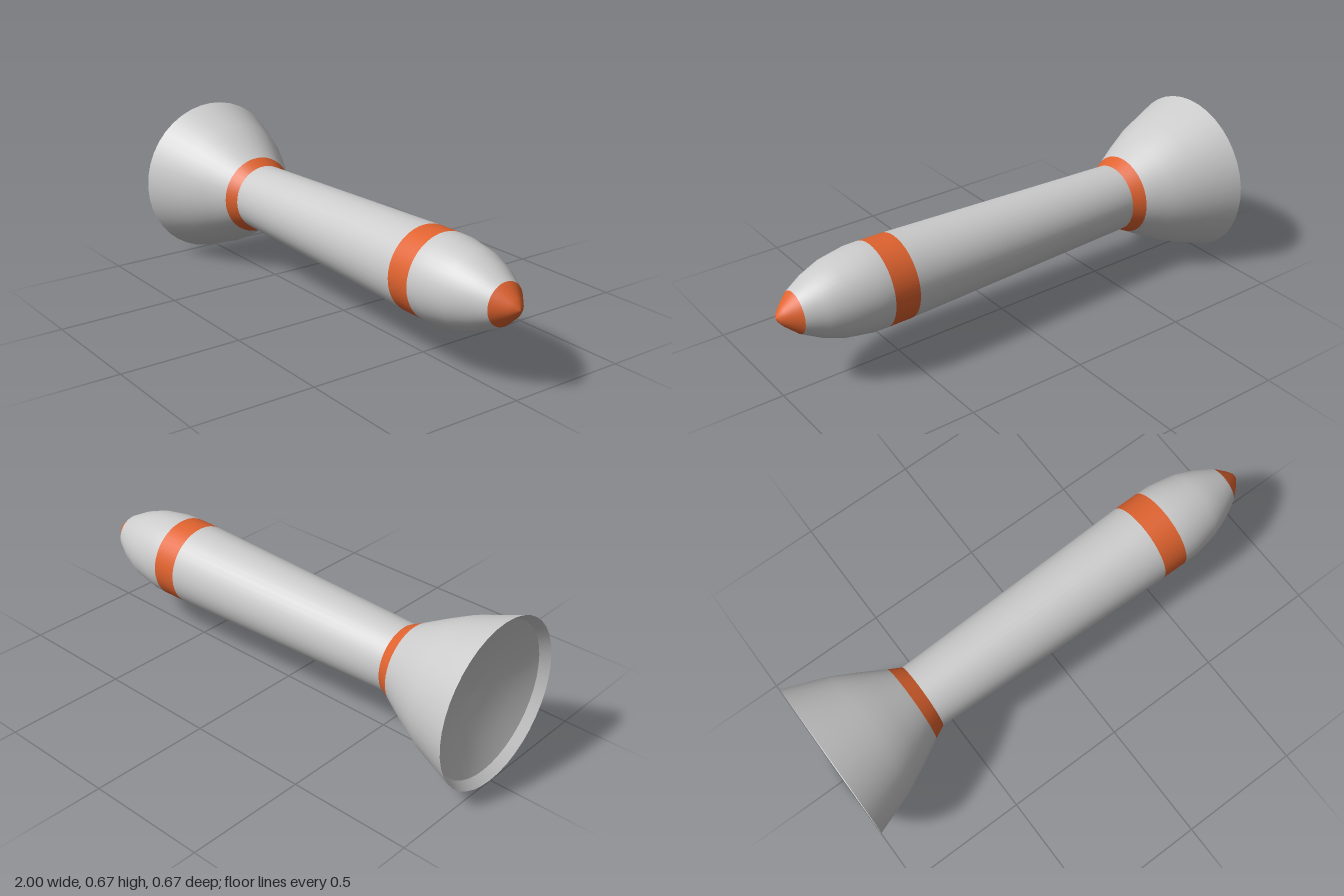
import * as THREE from 'three';

const SIDES = 40;
const RADIUS = 0.334;

export function createModel() {
  const group = new THREE.Group();
  group.name = 'projectile';
  const grey = new THREE.MeshStandardMaterial({ color: 0xcccccc });
  const orange = new THREE.MeshStandardMaterial({ color: 0xe0632f });

  // Turns a profile of [position along x, radius] pairs around the x axis
  function turned(name, profile, material) {
    const points = profile.map(([x, r]) => new THREE.Vector2(r, x));
    const geometry = new THREE.LatheGeometry(points, SIDES);
    geometry.rotateZ(-Math.PI / 2);
    geometry.translate(0, RADIUS, 0);
    const mesh = new THREE.Mesh(geometry, material);
    mesh.name = name;
    group.add(mesh);
  }

  // Flared tail: shallow dish inside, steep lip, outer skirt
  turned('tailDish', [[-0.89, 0], [-0.9, 0.1], [-0.93, 0.22], [-0.965, 0.308]], grey);
  turned('tailLip', [[-0.965, 0.308], [-1, RADIUS]], grey);
  turned('tailFlare', [[-1, RADIUS], [-0.82, 0.268], [-0.72, 0.217], [-0.625, 0.164]], grey);

  // Neck band, tapered body and shoulder band
  turned('neckBand', [[-0.625, 0.164], [-0.574, 0.138]], orange);
  turned('body', [[-0.574, 0.138], [0.495, 0.17]], grey);
  turned('shoulderBand', [[0.495, 0.17], [0.602, 0.171]], orange);

  // Rounded nose with a coloured tip
  turned('nose', [[0.602, 0.171], [0.66, 0.17], [0.77, 0.152], [0.85, 0.123], [0.925, 0.083]], grey);
  turned('noseTip', [[0.925, 0.083], [0.975, 0.038], [0.993, 0.016], [1, 0]], orange);

  return group;
}
